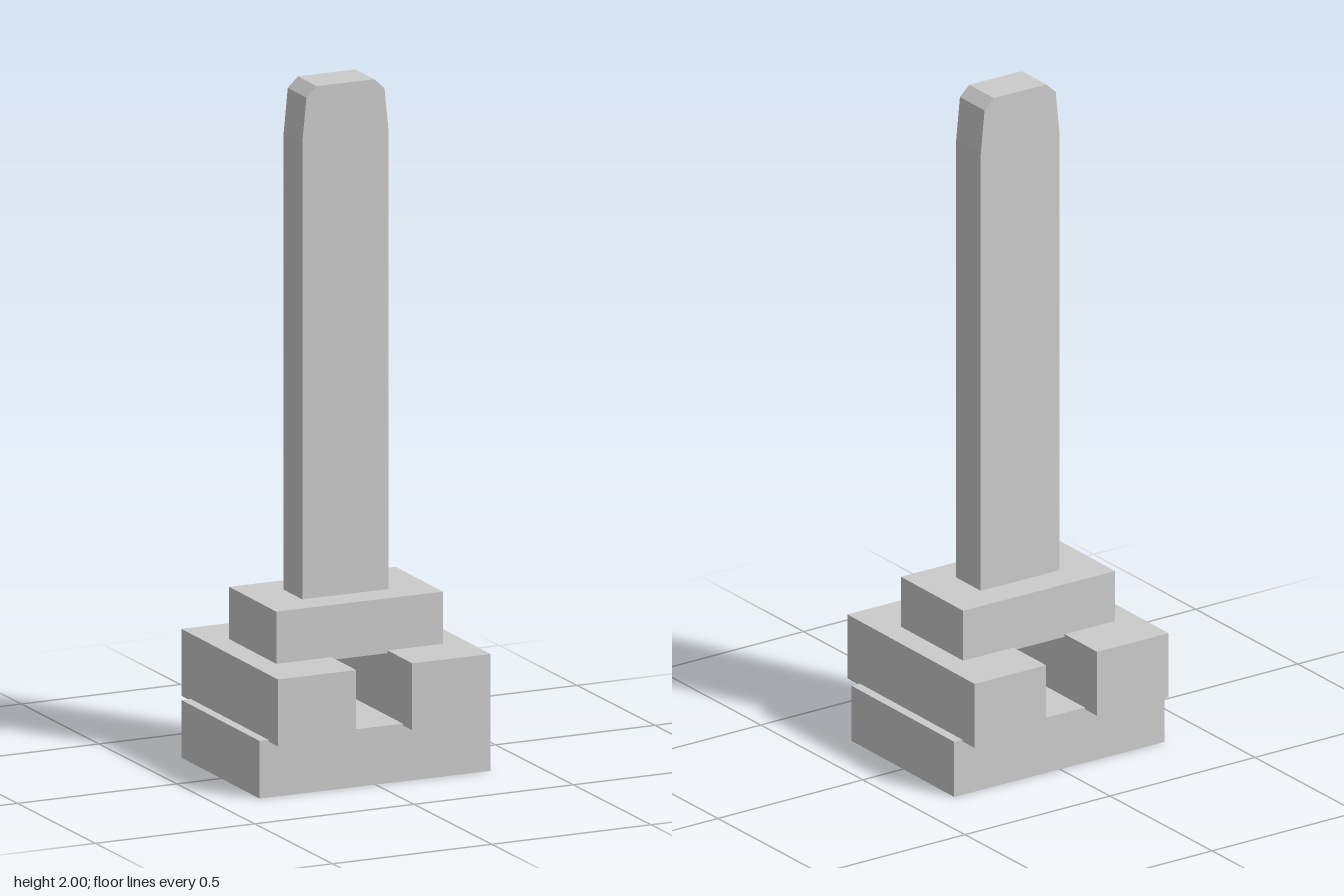
import * as THREE from 'three';

export function createModel() {
  const group = new THREE.Group();
  group.name = 'monument';
  const material = new THREE.MeshStandardMaterial({ color: 0xcccccc, flatShading: true });

  const add = (name, geometry, x, y, z) => {
    const mesh = new THREE.Mesh(geometry, material);
    mesh.name = name;
    mesh.position.set(x, y, z);
    group.add(mesh);
  };

  // Box resting between two heights
  const slab = (name, width, depth, bottom, top, x = 0) =>
    add(name, new THREE.BoxGeometry(width, top - bottom, depth), x, (bottom + top) / 2, -0.001);

  // Stepped foot: base, two separate blocks with a gap, plinth bridging them
  slab('base', 0.722, 0.509, 0, 0.168);
  for (const side of [-1, 1]) {
    slab(side > 0 ? 'leftBlock' : 'rightBlock', 0.245, 0.631, 0.163, 0.358, side * 0.21);
  }
  slab('plinth', 0.521, 0.309, 0.35, 0.51);

  // Upright slab with chamfered shoulders
  const half = [[0.135, 0.51], [0.135, 1.84], [0.122, 1.97], [0.09, 2]];
  const outline = [...half, ...half.map(([x, y]) => [-x, y]).reverse()];
  const shape = new THREE.Shape(outline.map(([x, y]) => new THREE.Vector2(x, y)));
  const depth = 0.122;
  add('pillar', new THREE.ExtrudeGeometry(shape, { depth, bevelEnabled: false }), 0, 0, -depth / 2);

  // Whole monument stands very slightly turned
  group.rotation.y = -0.0085;
  return group;
}
